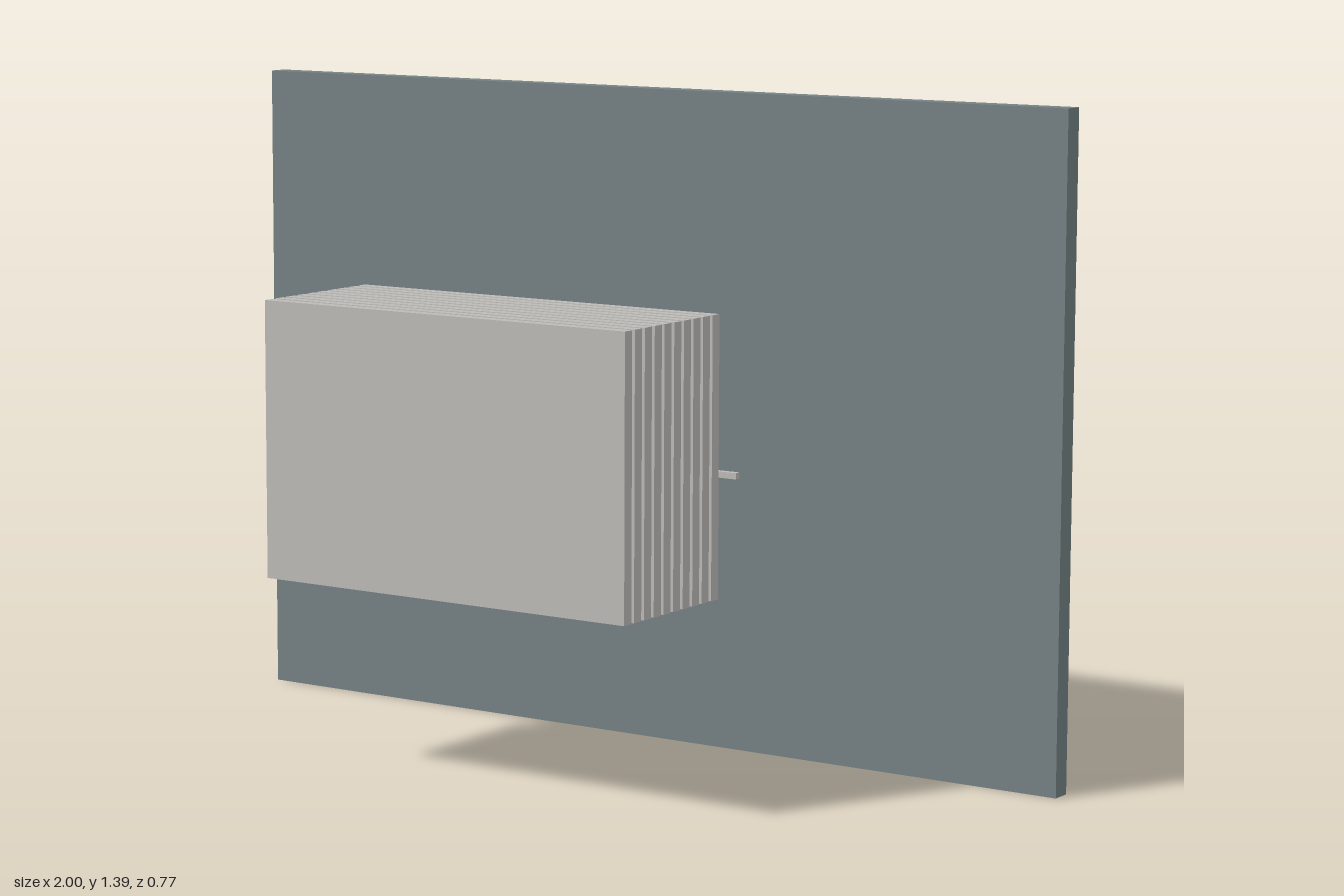
import * as THREE from 'three';

export function createModel() {
  const model = new THREE.Group();
  const slate = new THREE.MeshStandardMaterial({ color: 0x748183 });
  slate.name = 'slate';
  const paleGrey = new THREE.MeshStandardMaterial({ color: 0xbcbab7 });
  paleGrey.name = 'pale grey';

  const addBox = (name, material, size, position) => {
    const mesh = new THREE.Mesh(new THREE.BoxGeometry(...size), material);
    mesh.name = name;
    mesh.position.set(...position);
    model.add(mesh);
  };

  // Large back panel
  addBox('backPanel', slate, [2, 1.388, 0.044], [0, 0.694, -0.363]);

  // Stack of ten evenly spaced plates in front
  for (let i = 0; i < 10; i++) {
    addBox(`plate${i + 1}`, paleGrey, [0.882, 0.574, 0.025], [0, 0.695, 0.3725 - i * 0.0344]);
  }

  // Row of slim horizontal bars running back through the stack
  for (let i = 0; i < 4; i++) {
    addBox(`bar${i + 1}`, paleGrey, [0.69, 0.013, 0.014], [0, 0.619, -0.172 + i * 0.153]);
  }

  return model;
}
